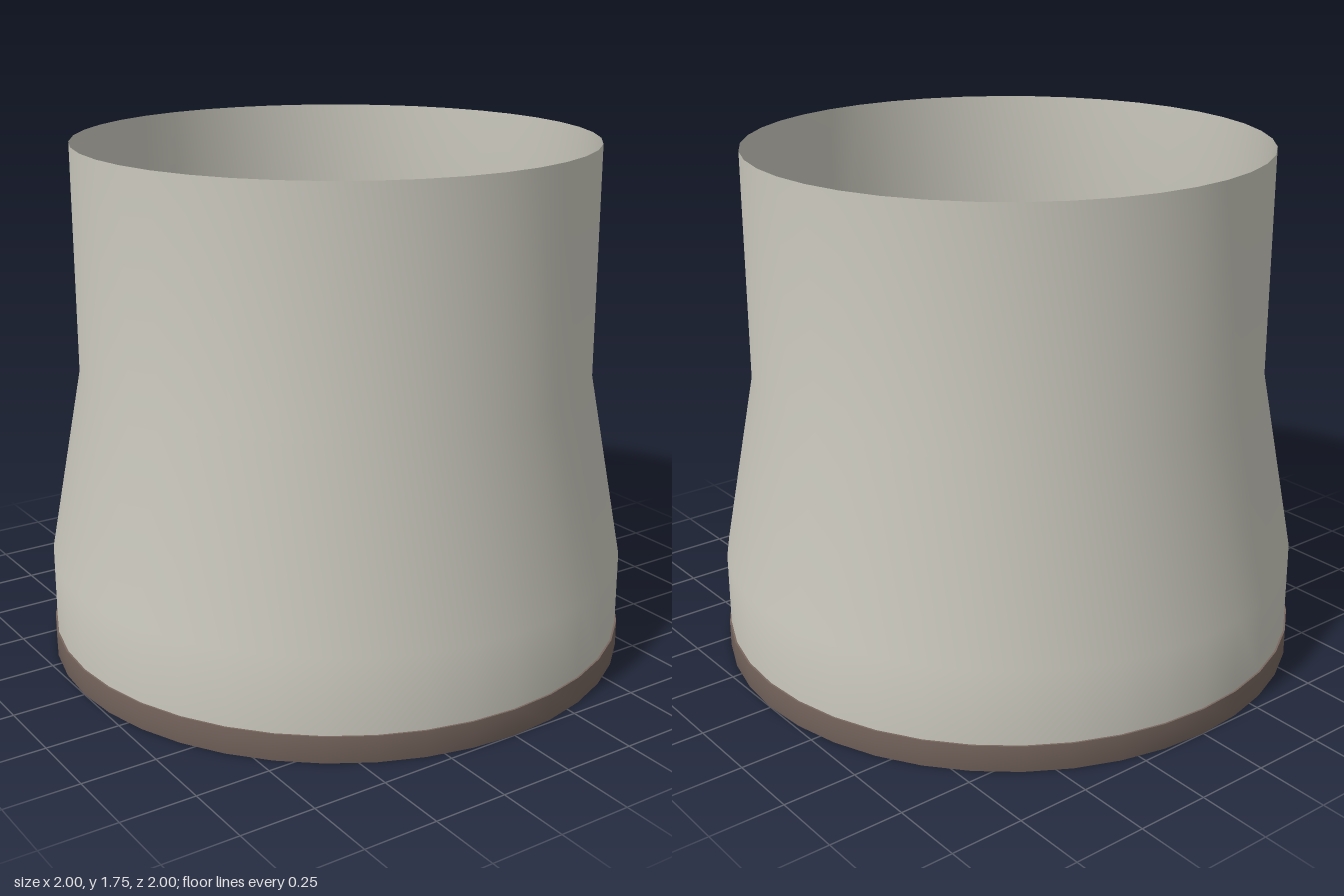
import * as THREE from 'three';

const SEGMENTS = 40;

// Turns a list of [radius, height] pairs around the vertical axis
function turned(name, profile, material) {
  const points = profile.map(([r, y]) => new THREE.Vector2(r, y));
  const mesh = new THREE.Mesh(new THREE.LatheGeometry(points, SEGMENTS), material);
  mesh.name = name;
  return mesh;
}

export function createModel() {
  const shellGrey = new THREE.MeshStandardMaterial({ color: 0xcac8bd, side: THREE.DoubleSide });
  shellGrey.name = 'shell grey';
  const rimBrown = new THREE.MeshStandardMaterial({ color: 0x78675f, side: THREE.DoubleSide });
  rimBrown.name = 'rim brown';

  const group = new THREE.Group();
  group.name = 'flaredSleeve';

  // Open thin sleeve: wide foot, tapered shoulder, straight neck
  group.add(turned('sleeve', [[0.994, 0.09], [0.994, 0.345], [0.875, 0.98], [0.875, 1.755]], shellGrey));

  // Narrow band around the foot, with a small wall thickness
  group.add(turned('baseRim', [[0.98, 0.09], [0.98, 0], [1, 0], [1, 0.09]], rimBrown));
  group.add(turned('baseRimTop', [[1, 0.09], [0.98, 0.09]], rimBrown));

  return group;
}
